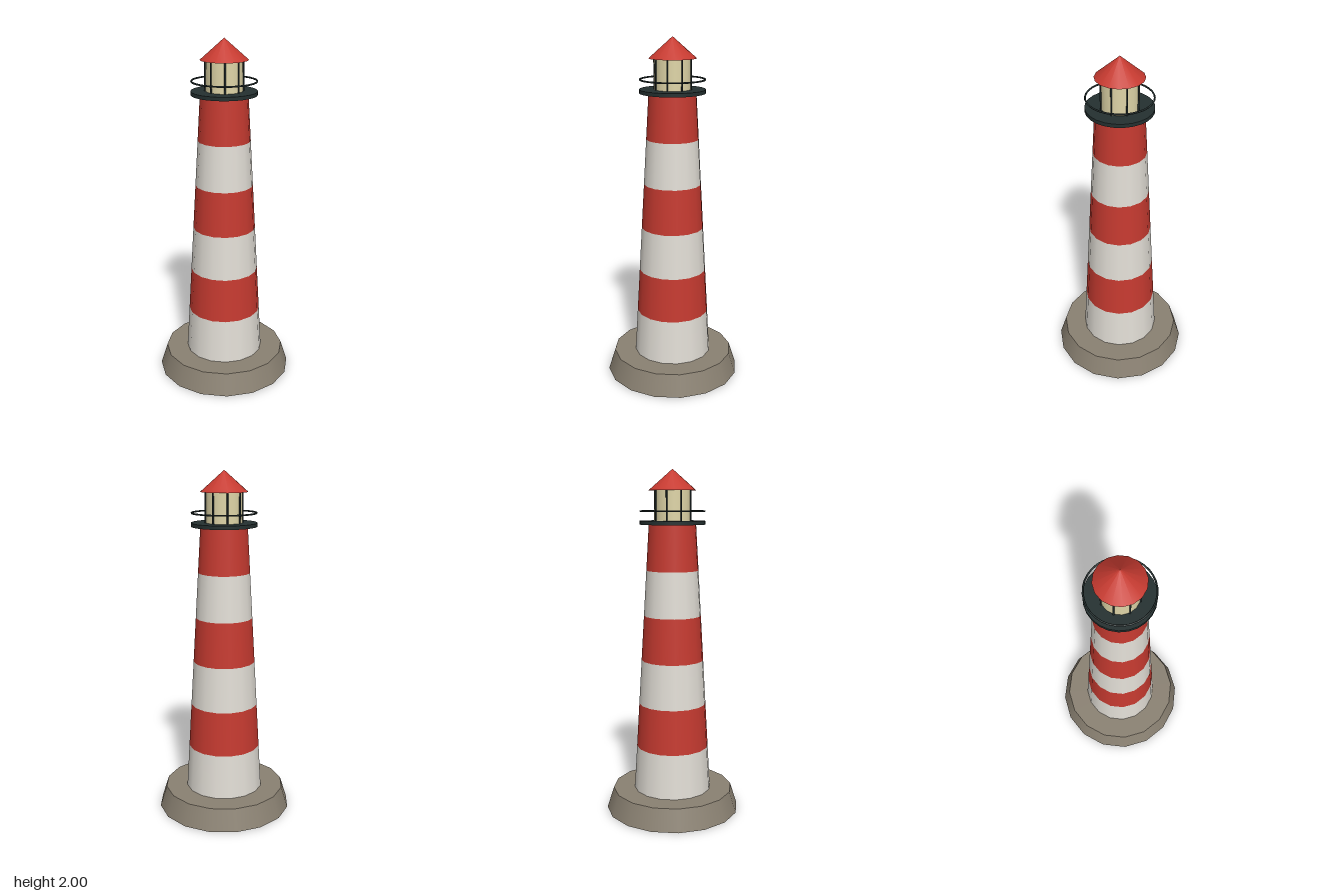
import * as THREE from 'three';

const material = (name, color) => {
  const m = new THREE.MeshStandardMaterial({ color });
  m.name = name;
  return m;
};

export function createModel() {
  const red = material('red paint', 0xc63a30);
  const white = material('white paint', 0xe2ded6);
  const stone = material('stone', 0x8a8172);
  const iron = material('dark iron', 0x243030);
  const glass = material('lantern glass', 0xe0d6a8);

  const model = new THREE.Group();
  model.name = 'lighthouse';

  const add = (name, geometry, mat, x = 0, y = 0, z = 0) => {
    const mesh = new THREE.Mesh(geometry, mat);
    mesh.name = name;
    mesh.position.set(x, y, z);
    model.add(mesh);
    return mesh;
  };

  // Upright tapered cylinder between two heights
  const drum = (name, mat, y0, y1, r0, r1, sides = 16, open = false) =>
    add(name, new THREE.CylinderGeometry(r1, r0, y1 - y0, sides, 1, open), mat, 0, (y0 + y1) / 2, 0);

  // Stone footing
  drum('base', stone, 0, 0.126, 0.395, 0.355);

  // Tapering tower in six alternating bands
  const bands = 6, bottom = 0.126, top = 1.694, rBottom = 0.228, rTop = 0.135;
  const mix = THREE.MathUtils.lerp;
  for (let i = 0; i < bands; i++) {
    const a = i / bands, b = (i + 1) / bands;
    drum(`towerBand${i + 1}`, i % 2 ? red : white,
      mix(bottom, top, a), mix(bottom, top, b),
      mix(rBottom, rTop, a), mix(rBottom, rTop, b), 16, true);
  }

  // Gallery deck and its handrail
  drum('galleryDeck', iron, 1.692, 1.713, 0.187, 0.187, 24);
  const rail = add('galleryRail', new THREE.TorusGeometry(0.182, 0.005, 6, 32), iron, 0, 1.767, 0);
  rail.rotation.x = Math.PI / 2;

  // Lantern room with glazing bars
  drum('lanternGlass', glass, 1.713, 1.883, 0.104, 0.104);
  for (let i = 0; i < 8; i++) {
    const a = (i / 8) * Math.PI * 2;
    add(`lanternBar${i + 1}`, new THREE.CylinderGeometry(0.005, 0.005, 0.17, 6), iron,
      Math.sin(a) * 0.106, 1.798, Math.cos(a) * 0.106);
  }

  // Conical roof
  add('roof', new THREE.ConeGeometry(0.135, 0.118, 16), red, 0, 1.941, 0);

  return model;
}
